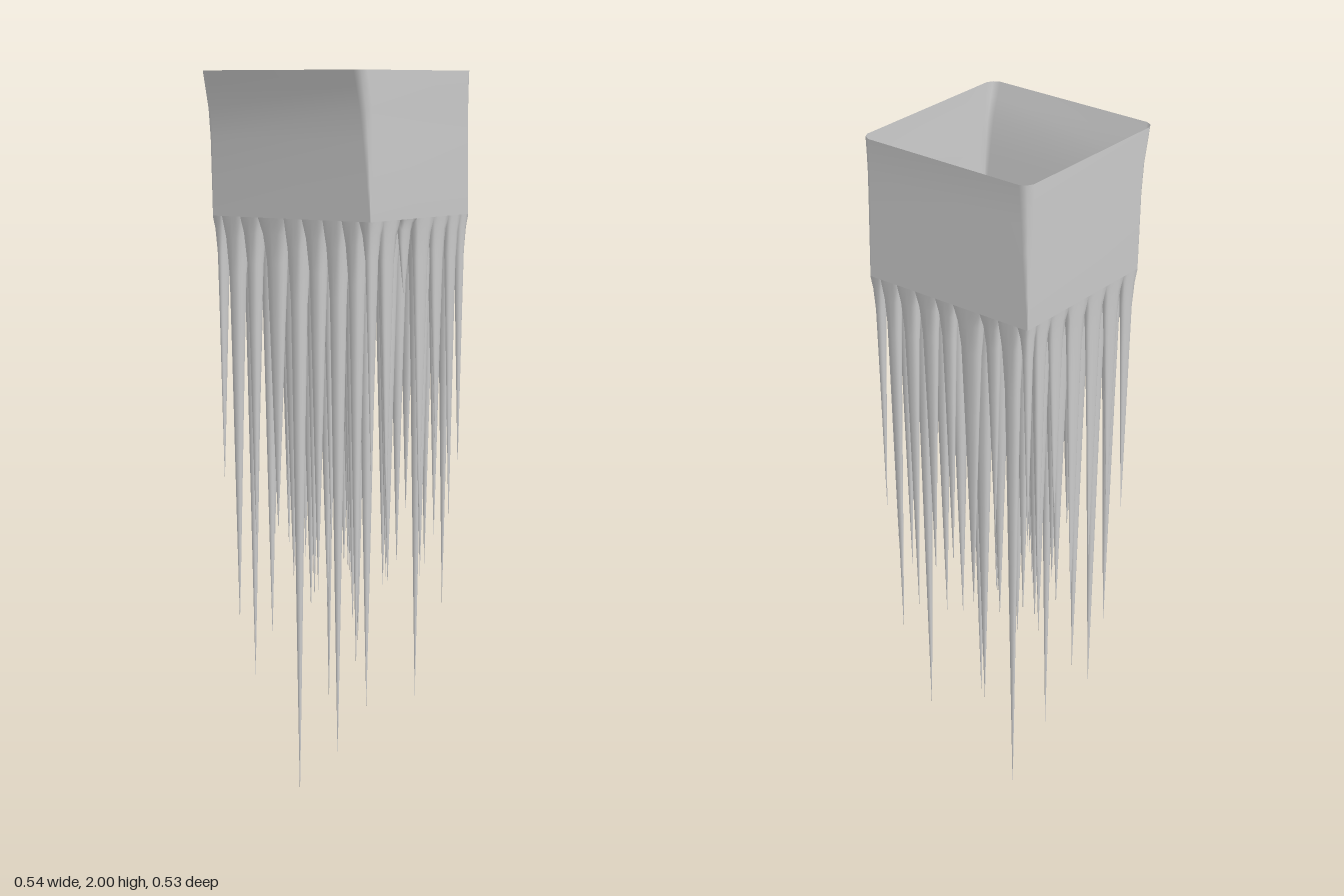
import * as THREE from 'three';

const material = new THREE.MeshStandardMaterial({ color: 0xcccccc, side: THREE.DoubleSide });

// Cell borders and spike centres across the floor
const EDGE_X = [-0.262, -0.23, -0.167, -0.107, -0.02, 0.04, 0.108, 0.17, 0.226, 0.262];
const EDGE_Z = [-0.255, -0.215, -0.157, -0.083, 0, 0.08, 0.155, 0.218];
const MID_X = [-0.25, -0.2, -0.14, -0.063, 0.008, 0.072, 0.137, 0.198, 0.247];
const MID_Z = [-0.235, -0.19, -0.12, -0.04, 0.04, 0.12, 0.19];

// Height of each tip: below the floor it hangs, above it stands as a peak
const TIPS = [
  [0.95, 0.13, 0.95, 0.7, 0.8, 0.75, 0.6, 0.5, 0.9],
  [0.8, 0.7, 1.8, 0.35, 1.8, 0.6, 0.22, 0.7, 0.75],
  [1.0, 0.6, 1.78, 0.6, 1.78, 0.55, 1.78, 0.6, 0.95],
  [0.68, 0.65, 1.82, 0.5, 0.6, 0.22, 0.6, 1.78, 0.8],
  [0.8, 0.4, 0.8, 0.5, 0.7, 0.6, 1.8, 0.6, 1.4],
  [0.9, 0.3, 1.76, 0.6, 0.55, 1.78, 0.5, 1.76, 0.85],
  [0.87, 0.47, 0.72, 0.75, 0.0, 0.6, 0.14, 0.4, 0.9],
];

// Fraction of the drop and remaining width for each ring of a spike
const RINGS = [[0, 1], [0.05, 0.86], [0.14, 0.73], [0.35, 0.54], [0.6, 0.34], [0.82, 0.16], [1, 0]];
const FLOOR = 1.61;
const PER_SIDE = 4;

// Floor height at a grid corner: level at the walls, uneven inside
function cornerHeight(i, j) {
  if (i === 0 || j === 0 || i === 9 || j === 7) return FLOOR;
  return FLOOR + 0.03 * Math.sin(i * 2.3 + j * 4.1) + 0.02;
}

// Surface through a list of closed rings of equal length
function loft(rings) {
  const n = rings[0].length, index = [];
  for (let r = 0; r < rings.length - 1; r++) {
    for (let k = 0; k < n; k++) {
      const a = r * n + k, b = r * n + (k + 1) % n;
      index.push(a, b, a + n, b, b + n, a + n);
    }
  }
  const geometry = new THREE.BufferGeometry();
  geometry.setAttribute('position', new THREE.Float32BufferAttribute(rings.flat(2), 3));
  geometry.setIndex(index);
  geometry.computeVertexNormals();
  return geometry;
}

// One cell: square at the floor, turning round and narrowing to its tip
function spikeGeometry(i, j) {
  const x0 = EDGE_X[i], x1 = EDGE_X[i + 1], z0 = EDGE_Z[j], z1 = EDGE_Z[j + 1];
  const cx = MID_X[i], cz = MID_Z[j], tip = TIPS[j][i];
  const corners = [[0, 0], [1, 0], [1, 1], [0, 1]];
  const border = [];
  for (let s = 0; s < 4; s++) {
    const a = corners[s], b = corners[(s + 1) % 4];
    for (let k = 0; k < PER_SIDE; k++) {
      const t = k / PER_SIDE;
      const u = a[0] + (b[0] - a[0]) * t, v = a[1] + (b[1] - a[1]) * t;
      const y = THREE.MathUtils.lerp(cornerHeight(i + a[0], j + a[1]), cornerHeight(i + b[0], j + b[1]), t);
      // Shrink towards a circle lower down
      const p = 2 * u - 1, q = 2 * v - 1;
      const round = Math.max(Math.abs(p), Math.abs(q)) / Math.hypot(p, q);
      border.push([x0 + (x1 - x0) * u, y, z0 + (z1 - z0) * v, round]);
    }
  }
  border.reverse();
  return loft(RINGS.map(([drop, width], r) => border.map(([x, y, z, round]) => {
    const f = width * THREE.MathUtils.lerp(1, round, Math.min(1, r / 2));
    return [cx + (x - cx) * f, y + (tip - y) * drop, cz + (z - cz) * f];
  })));
}

// Rectangle with bevelled corners, at one height of the wall
function wallRing(y, halfX, back, front, bevel) {
  const b = bevel, m = bevel * 0.35;
  const quarter = [[0, b], [m, m], [b, 0]];
  const ring = [];
  for (const [dx, dz] of quarter) ring.push([-halfX + dx, y, back + dz]);
  for (const [dx, dz] of [...quarter].reverse()) ring.push([halfX - dx, y, back + dz]);
  for (const [dx, dz] of quarter) ring.push([halfX - dx, y, front - dz]);
  for (const [dx, dz] of [...quarter].reverse()) ring.push([-halfX + dx, y, front - dz]);
  return ring.reverse();
}

export function createModel() {
  const model = new THREE.Group();
  model.name = 'hangingSpikeBox';

  // Open-topped wall, flared forward at the rim
  const wall = new THREE.Mesh(loft([
    wallRing(2, 0.268, -0.267, 0.268, 0.026),
    wallRing(1.96, 0.268, -0.264, 0.258, 0.025),
    wallRing(1.9, 0.267, -0.261, 0.243, 0.022),
    wallRing(1.82, 0.266, -0.26, 0.233, 0.018),
    wallRing(1.7, 0.265, -0.257, 0.224, 0.01),
    wallRing(FLOOR, 0.262, -0.255, 0.218, 0.001),
  ]), material);
  wall.name = 'wall';
  model.add(wall);

  // Floor made of hanging spikes and a few standing peaks
  const floor = new THREE.Group();
  floor.name = 'spikedFloor';
  for (let j = 0; j < MID_Z.length; j++) {
    for (let i = 0; i < MID_X.length; i++) {
      const cell = new THREE.Mesh(spikeGeometry(i, j), material);
      cell.name = TIPS[j][i] > FLOOR ? 'standingPeak' : 'hangingSpike';
      floor.add(cell);
    }
  }
  model.add(floor);
  return model;
}
